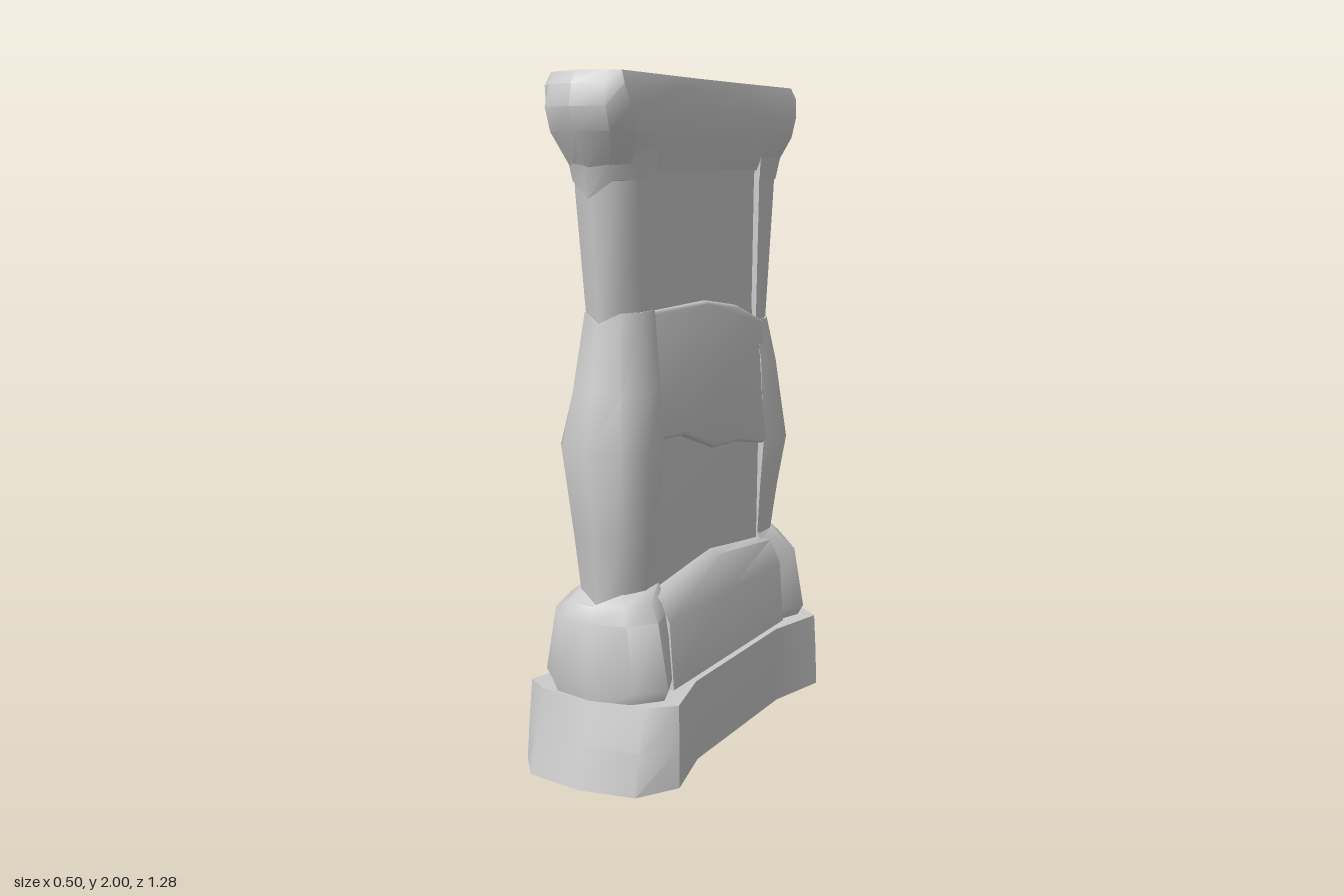
import * as THREE from 'three';
import { toCreasedNormals } from 'three/addons/utils/BufferGeometryUtils.js';

const material = new THREE.MeshStandardMaterial({ color: 0xcccccc, side: THREE.DoubleSide });

function add(group, name, geometry) {
  const mesh = new THREE.Mesh(geometry, material);
  mesh.name = name;
  group.add(mesh);
  return mesh;
}

// Skin a stack of rings (each a list of [x, y, z]) and close the ends with fans
function loft(rings, { bottom = true, crease = 0.75, topCentre = null } = {}) {
  const n = rings[0].length, pos = rings.flat(2), idx = [];
  for (let r = 0; r < rings.length - 1; r++) {
    for (let i = 0; i < n; i++) {
      const a = r * n + i, b = r * n + (i + 1) % n;
      idx.push(a, b, b + n, a, b + n, a + n);
    }
  }
  const fan = (r, up, centre) => {
    const c = pos.length / 3;
    for (let k = 0; k < 3; k++) pos.push(centre ? centre[k] : rings[r].reduce((s, p) => s + p[k], 0) / n);
    for (let i = 0; i < n; i++) {
      const a = r * n + i, b = r * n + (i + 1) % n;
      if (up) idx.push(a, b, c); else idx.push(b, a, c);
    }
  };
  if (bottom) fan(0, false);
  fan(rings.length - 1, true, topCentre);
  const g = new THREE.BufferGeometry();
  g.setAttribute('position', new THREE.Float32BufferAttribute(pos, 3));
  g.setIndex(idx);
  return toCreasedNormals(g, crease);
}

// Dogbone plan: half width mid in the waist, end at the shoulders; skew lengthens the left waist
function dogbone(y, mid, end, zTip, zShoulder, zWaist, skew = 0) {
  const side = (d) => [
    [end * 0.7, zTip - 0.03], [end, zShoulder + d / 2], [mid, zWaist + d],
    [mid, 0], [mid, -zWaist - d], [end, -zShoulder - d / 2], [end * 0.7, -zTip + 0.03],
  ];
  const other = side(skew).reverse().map(([x, z]) => [-x, z]);
  return [[0, zTip], ...side(0), [0, -zTip], ...other].map(([x, z]) => [x, y, z]);
}

// Pillar plan: pointed outer nose, flat inner side; s is the end it stands at
function pillarRing(s, y, w, zOut, dip = 0) {
  const zIn = 0.335, wIn = w * 0.5 + 0.045;
  const ring = [
    [0, zOut, dip], [w * 0.65, zOut - 0.025, 0], [w, zOut - 0.1, 0], [wIn, zIn, 0],
    [-wIn, zIn, 0], [-w, zOut - 0.1, 0], [-w * 0.65, zOut - 0.025, 0],
  ].map(([x, z, d]) => [x, y - d, z * s]);
  return s > 0 ? ring : ring.reverse();
}

// Wall plan: right and left half widths, with a separate width at the left middle
function panelRing(y, xr, xl, xlMid = xl, lift = 0) {
  const z = 0.38;
  return [[-xl, y, z], [xr, y, z], [xr, y + lift, 0], [xr, y, -z], [-xl, y, -z], [-xlMid, y + lift, 0]];
}

// Thin stone slab from an outline, facing along +x or -x
function slab(points, side) {
  const shape = new THREE.Shape(points.map(([u, y]) => new THREE.Vector2(u, y)));
  const g = new THREE.ExtrudeGeometry(shape, {
    depth: 0.06, bevelEnabled: true, bevelSize: 0.012, bevelThickness: 0.012, bevelOffset: -0.012, bevelSegments: 2,
  });
  return toCreasedNormals(g.rotateY(side * Math.PI / 2), 0.8);
}

export function createModel() {
  const group = new THREE.Group();
  group.name = 'stoneWallSegment';

  // Flared foot, open underneath
  add(group, 'foot', loft([
    dogbone(0, 0.2, 0.252, 0.64, 0.49, 0.28, 0.05),
    dogbone(0.12, 0.2, 0.25, 0.61, 0.485, 0.28, 0.04),
    dogbone(0.242, 0.195, 0.245, 0.575, 0.48, 0.28, 0.03),
  ], { bottom: false }));

  // Middle of the plinth, set back between the end blocks
  add(group, 'plinthMiddle', loft([
    panelRing(0.23, 0.175, 0.165),
    panelRing(0.44, 0.16, 0.15),
    panelRing(0.515, 0.125, 0.125, 0.125, 0.04),
    panelRing(0.53, 0.08, 0.08, 0.08, 0.045),
  ], { crease: 0.9 }));

  // Wall panel between the pillars, recessed in the upper left
  add(group, 'wallPanel', loft([
    panelRing(0.48, 0.092, 0.092), panelRing(0.92, 0.098, 0.098), panelRing(1.3, 0.07, 0.075),
    panelRing(1.33, 0.07, 0.045, 0.07), panelRing(1.72, 0.075, 0.045, 0.035), panelRing(1.85, 0.09, 0.08, 0.06),
  ]));

  // End blocks, two-stage pillars and collars at both ends
  for (const s of [1, -1]) {
    const joint = s > 0 ? 1.345 : 1.255, bulge = s > 0 ? 0.57 : 0.548, name = s > 0 ? 'front' : 'back';
    add(group, name + 'PlinthBlock', loft([
      pillarRing(s, 0.232, 0.185, 0.565, 0.015),
      pillarRing(s, 0.275, 0.207, 0.572),
      pillarRing(s, 0.47, 0.173, 0.57),
      pillarRing(s, 0.515, 0.135, 0.545),
      pillarRing(s, 0.545, 0.105, 0.518, 0.04),
    ], { crease: 0.95 }));
    add(group, name + 'LowerPillar', loft([
      pillarRing(s, 0.5, 0.1, 0.515, 0.02),
      pillarRing(s, 0.7, 0.122, 0.535),
      pillarRing(s, s > 0 ? 0.96 : 0.86, 0.147, bulge),
      pillarRing(s, 1.12, 0.122, bulge - 0.035),
      pillarRing(s, joint, 0.088, 0.502, 0.03),
    ], { crease: 0.9 }));
    add(group, name + 'UpperPillar', loft([
      pillarRing(s, joint - 0.05, 0.08, 0.497),
      pillarRing(s, 1.68, 0.097, 0.535),
      pillarRing(s, 1.82, 0.1, 0.545),
    ], { crease: 0.9 }));
    // Collar where the pillar meets the coping
    add(group, name + 'Collar', loft([
      pillarRing(s, 1.71, 0.1, 0.545, 0.05),
      pillarRing(s, 1.765, 0.106, 0.56, 0.02),
      pillarRing(s, 1.86, 0.12, 0.595),
    ], { crease: 0.9 }));
  }

  // Raised stone slab on one side, leaning in towards the top
  const raised = add(group, 'raisedSlab', slab([
    [-0.35, 0.97], [-0.2, 0.96], [0, 0.89], [0.15, 0.885], [0.36, 0.845],
    [0.38, 1.25], [0.2, 1.315], [0, 1.345], [-0.35, 1.34],
  ], 1));
  raised.position.x = 0.109;
  raised.rotation.z = 0.07;

  // Broad slab on the other side, almost flush at its foot
  const broad = add(group, 'broadSlab', slab([
    [-0.37, 0.87], [0.37, 0.93], [0.37, 1.34], [0.1, 1.345], [-0.2, 1.33], [-0.37, 1.29],
  ], -1));
  broad.position.x = -0.067;
  broad.rotation.z = -0.04;

  // Coping with a chipped notch in the middle of its left edge
  const coping = [
    dogbone(1.735, 0.082, 0.088, 0.545, 0.46, 0.3),
    dogbone(1.84, 0.112, 0.134, 0.605, 0.5, 0.3),
    dogbone(1.905, 0.114, 0.136, 0.628, 0.53, 0.3),
    dogbone(1.965, 0.108, 0.126, 0.615, 0.55, 0.2),
    dogbone(2, 0.1, 0.112, 0.59, 0.54, 0.15),
  ];
  coping[3][12][1] -= 0.03;
  coping[4][12][1] -= 0.04;
  add(group, 'coping', loft(coping, { crease: 0.7, topCentre: [0, 2, 0] })).position.z = 0.008;

  return group;
}
